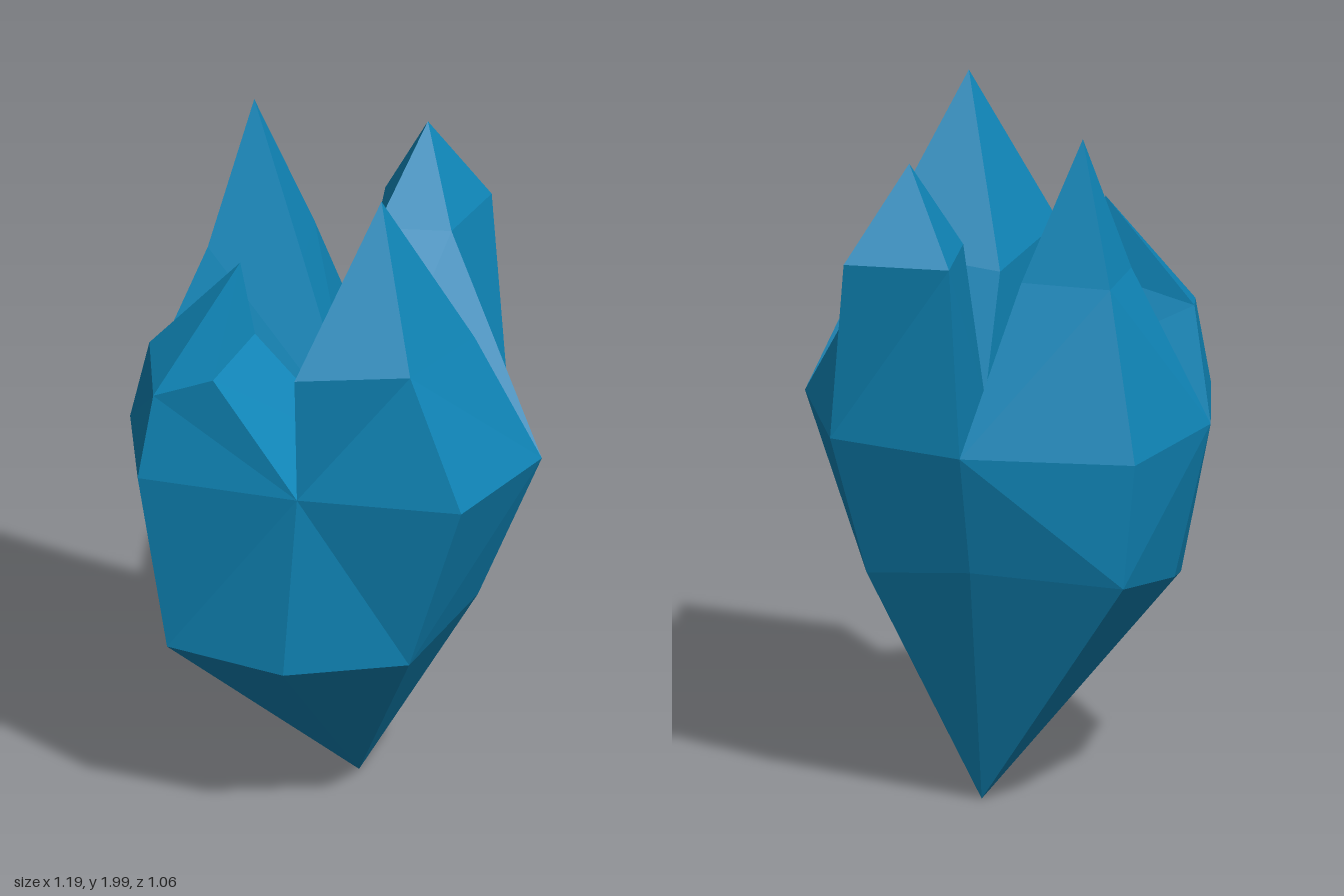
import * as THREE from 'three';

// Waist ring, from +x round through +z: even = sides, odd = corners
const waist = [
  [0.59, 1.1, 0.02], [0.46, 1.1, 0.44], [-0.01, 1.1, 0.46], [-0.48, 1.1, 0.42],
  [-0.6, 1.1, 0.02], [-0.52, 1.1, -0.45], [-0.03, 1.1, -0.53], [0.38, 1.1, -0.43],
];
// Ring below the waist, same order
const belly = [
  [0.4, 0.65, 0], [0.28, 0.56, 0.32], [-0.06, 0.535, 0.42], [-0.41, 0.56, 0.36],
  [-0.5, 0.65, 0], [-0.48, 0.73, -0.43], [-0.03, 0.74, -0.43], [0.3, 0.69, -0.34],
];
const foot = [0.02, 0, -0.15];
const valley = [0.08, 1.1, 0.08];

// Each crystal: shoulder ring (inner, first side, corner, second side) and tip
const crystals = [
  { name: 'frontLeftCrystal', tip: [0.2, 1.985, 0.32],
    shoulder: [[0.06, 1.45, 0.16], [0.42, 1.5, 0.12], [0.31, 1.5, 0.43], [0, 1.5, 0.53]] },
  { name: 'frontRightCrystal', tip: [-0.24, 1.69, 0.19],
    shoulder: [[-0.2, 1.47, 0.18], [-0.26, 1.43, 0.43], [-0.44, 1.35, 0.4], [-0.51, 1.4, 0.16]] },
  { name: 'backRightCrystal', tip: [-0.31, 1.985, -0.26],
    shoulder: [[-0.13, 1.58, -0.105], [-0.41, 1.58, -0.12], [-0.42, 1.58, -0.36], [-0.16, 1.58, -0.36]] },
  { name: 'backLeftCrystal', tip: [0.16, 1.91, -0.39], cornerFold: true,
    shoulder: [[0.05, 1.64, -0.23], [0.01, 1.64, -0.5], [0.31, 1.64, -0.53], [0.26, 1.64, -0.26]] },
];

const material = new THREE.MeshStandardMaterial({ color: 0x1088bb, flatShading: true });

// Joins two rings; rising(i) picks which way each quad is folded
function band(low, high, rising) {
  return low.flatMap((a, i) => {
    const j = (i + 1) % low.length;
    return rising(i)
      ? [low[j], a, high[j], a, high[i], high[j]]
      : [low[j], a, high[i], low[j], high[i], high[j]];
  });
}

// Closes a ring to a point above (up) or below it
function fan(ring, point, up) {
  return ring.flatMap((a, i) => {
    const b = ring[(i + 1) % ring.length];
    return up ? [b, a, point] : [a, b, point];
  });
}

function facetMesh(name, corners) {
  const geometry = new THREE.BufferGeometry();
  geometry.setAttribute('position', new THREE.Float32BufferAttribute(corners.flat(), 3));
  geometry.computeVertexNormals();
  const mesh = new THREE.Mesh(geometry, material);
  mesh.name = name;
  return mesh;
}

export function createModel() {
  const group = new THREE.Group();
  group.name = 'crystalCluster';

  // Tapered lower body
  group.add(facetMesh('lowerBody', [
    ...band(belly, waist, (i) => i % 2 === 1),
    ...fan(belly, foot, false),
  ]));

  // Four crystals, one on each quarter of the waist
  crystals.forEach(({ name, tip, shoulder, cornerFold }, q) => {
    const side = q * 2;
    const base = [valley, waist[side], waist[side + 1], waist[(side + 2) % 8]];
    const folds = cornerFold ? [true, false, true, false] : [true, true, false, false];
    group.add(facetMesh(name, [
      ...band(base, shoulder, (i) => folds[i]),
      ...fan(shoulder, tip, true),
    ]));
  });
  return group;
}

// Reorder the crystals so each shoulder starts on the side its quarter starts on
